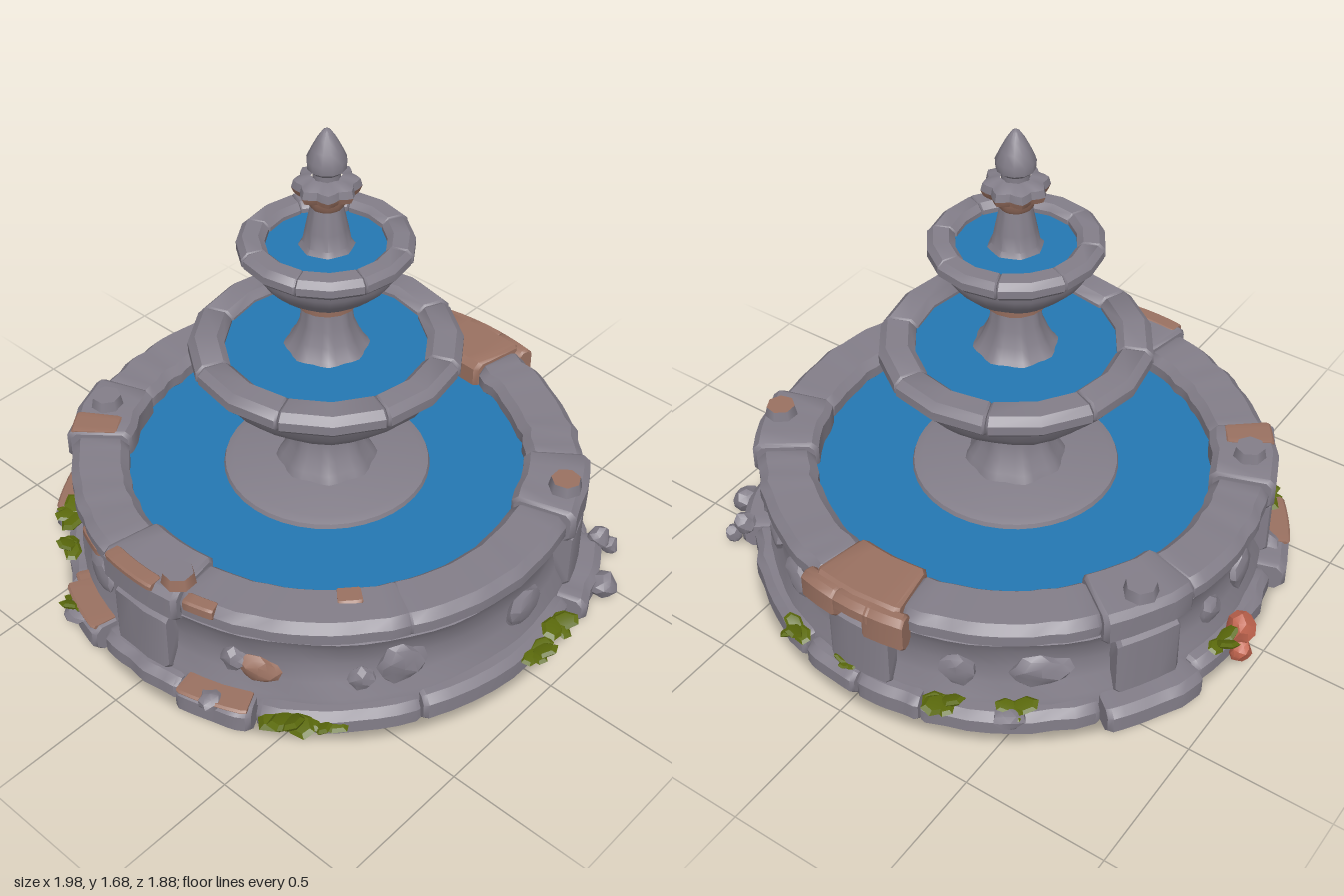
import * as THREE from 'three';
import { toCreasedNormals } from 'three/addons/utils/BufferGeometryUtils.js';

const mat = (name, color) => Object.assign(new THREE.MeshStandardMaterial({ color }), { name });
const RAD = Math.PI / 180;

export function createModel() {
  const stone = mat('stone', 0x837e89), rust = mat('rustyStone', 0x9a7161), clay = mat('redClay', 0xc0644e);
  const water = mat('water', 0x2478b2), leaf = mat('leafGreen', 0x5c6b0c), under = mat('darkUnderside', 0x24241c);
  const fountain = new THREE.Group();
  fountain.name = 'fountain';
  fountain.position.set(-0.01, 0, -0.02);

  let seed = 7;
  const rnd = () => (seed = (seed * 16807) % 2147483647) / 2147483647;

  function add(name, geo, material, x = 0, y = 0, z = 0) {
    const m = new THREE.Mesh(geo, material);
    m.name = name;
    m.position.set(x, y, z);
    fountain.add(m);
    return m;
  }

  // bevelled rectangular cross-section in (radius, height)
  const bevel = (r0, r1, y0, y1, b) => [[r0 + b, y0], [r1 - b, y0], [r1, y0 + b], [r1, y1 - b],
    [r1 - b, y1], [r0 + b, y1], [r0, y1 - b], [r0, y0 + b]];

  // sweeps a cross-section around the axis from a0 to a1 degrees (0 = front), with softened ends
  function arc(section, a0, a1, n, wobble = 0) {
    const k = section.length, pos = [], idx = [];
    const cr = section.reduce((s, p) => s + p[0], 0) / k, cy = section.reduce((s, p) => s + p[1], 0) / k;
    const soft = Math.min(1, (a1 - a0) * 0.06), steps = [a0];
    for (let i = 0; i <= n; i++) steps.push(a0 + soft + (a1 - a0 - 2 * soft) * i / n);
    steps.push(a1);
    const put = (r, y, a) => pos.push(r * Math.sin(a * RAD), y, r * Math.cos(a * RAD));
    steps.forEach((a, i) => {
      const s = i === 0 || i === steps.length - 1 ? 0.88 : 1;
      const w = wobble * Math.sin(a * 0.37 + Math.sin(a * 0.23) * 2);
      for (const [r, y] of section) put(cr + (r - cr) * s + w, Math.max(0, cy + (y - cy) * s + w * 0.5), a);
    });
    const last = steps.length - 1;
    for (let i = 0; i < last; i++) for (let j = 0; j < k; j++) {
      const a = i * k + j, b = i * k + (j + 1) % k;
      idx.push(a, a + k, b + k, a, b + k, b);
    }
    put(cr, cy, a0);
    put(cr, cy, a1);
    const c = (last + 1) * k;
    for (let j = 0; j < k; j++) {
      const j2 = (j + 1) % k;
      idx.push(c, j, j2, c + 1, last * k + j2, last * k + j);
    }
    const g = new THREE.BufferGeometry();
    g.setAttribute('position', new THREE.Float32BufferAttribute(pos, 3));
    g.setIndex(idx);
    return toCreasedNormals(g, 0.7);
  }

  // turned profile whose radius follows a rule (angle, height) => factor
  function turned(profile, sides, rule = () => 1) {
    const g = new THREE.LatheGeometry(profile.map(p => new THREE.Vector2(p[0], p[1])), sides);
    const p = g.attributes.position;
    for (let i = 0; i < p.count; i++) {
      const f = rule(Math.atan2(p.getX(i), p.getZ(i)), p.getY(i));
      p.setXYZ(i, p.getX(i) * f, p.getY(i), p.getZ(i) * f);
    }
    g.deleteAttribute('normal');
    return toCreasedNormals(g, 0.75);
  }

  // irregular stone
  function rock(sx, sy, sz) {
    const g = new THREE.IcosahedronGeometry(1, 1), p = g.attributes.position, s = rnd() * 9;
    for (let i = 0; i < p.count; i++) {
      const x = p.getX(i), y = p.getY(i), z = p.getZ(i);
      const f = 0.88 + 0.17 * Math.sin(x * 3 + s) * Math.cos(y * 4 + z * 3 + s);
      p.setXYZ(i, x * f * sx, y * f * sy, z * f * sz);
    }
    return toCreasedNormals(g, 0.5);
  }

  const flat = (r, y, name, m) => add(name, new THREE.CircleGeometry(r, 64).rotateX(-Math.PI / 2), m, 0, y, 0);

  // ---- lower basin: underside, foot ring, curved wall, water
  add('underside', new THREE.CircleGeometry(0.92, 64).rotateX(Math.PI / 2), under, 0, 0.002, 0);
  const foot = [[-180, -165], [-165, -128], [-128, -106], [-106, -72], [-72, -49], [-49, -27], [-27, -11], [-11, 11],
    [11, 28], [28, 62], [62, 106], [106, 128], [128, 165], [165, 180]];
  foot.forEach(([a, b], i) => {
    const big = [2, 4].includes(i) || i === 11 ? 0.965 : [6, 8].includes(i) ? 0.945 : 0.915;
    add('footStone', arc(bevel(0.78, big, 0, i % 2 ? 0.1 : 0.11, 0.025), a + 0.3, b - 0.3, 8, 0.006), stone);
  });
  add('basinWall', turned([[0.87, 0.07], [0.86, 0.12], [0.835, 0.17], [0.825, 0.24], [0.835, 0.31], [0.86, 0.36], [0.8, 0.38]], 72,
    (a, y) => 1 + 0.005 * Math.sin(a * 11 + y * 20) * Math.cos(a * 5)), stone);
  add('innerWall', turned([[0.72, 0.4], [0.7, 0.3], [0, 0.3]], 48), stone);
  flat(0.72, 0.375, 'basinWater', water);

  // ---- basin rim: long curved stones between wider capping blocks on pilasters
  const posts = [-117, -60, 0, 117, 180];
  const rim = [[-169, -128], [-106, -71], [-49, -11], [11, 60], [60, 106], [128, 169]];
  rim.forEach(([a, b]) => add('rimStone', arc(bevel(0.68, 0.875, 0.355, 0.45, 0.028), a - 0.6, b + 0.6, 12, 0.005), stone));
  for (const a of posts) {
    const back = a === 180;
    add('capBlock', arc(bevel(0.67, 0.895, 0.34, 0.465, 0.022), a - 10.6, a + 10.6, 4, 0.004), back ? rust : stone);
    add('pilaster', arc(bevel(0.78, 0.89, 0.09, 0.35, 0.025), a - 7.5, a + 7.5, 3, 0.003), stone);
  }
  // broken rust-coloured end hanging over the back rim
  [[172, 0.1], [181, 0.06], [188, 0.12]].forEach(([a, h]) =>
    add('rustyDrip', arc(bevel(0.86, 0.925, 0.44 - h, 0.455, 0.02), a - 4.5, a + 4.5, 2), rust));

  // knobs on the capping blocks
  [[-0.73, -0.38, stone], [0.75, -0.35, rust], [-0.7, 0.38, stone], [0.12, 0.81, stone]].forEach(([x, z, top], i) => {
    const side = i === 3 ? rust : stone;
    add('knob', new THREE.CylinderGeometry(0.05, 0.058, 0.04, 7), [side, top, side], x, 0.483, z).rotation.y = i * 0.7;
  });

  // ---- worn rust patches: [from, to, inner radius, outer radius, bottom, top]
  [[-29, -24, 0.8, 0.905, 0.09, 0.112], [-26, -12, 0.85, 0.948, 0.1, 0.116], [12, 27, 0.85, 0.948, 0.1, 0.116],
    [-57, -50, 0.72, 0.885, 0.446, 0.468], [45, 51, 0.7, 0.77, 0.44, 0.456], [-9, 5, 0.84, 0.9, 0.44, 0.469],
    [-23, -15, 0.84, 0.882, 0.36, 0.4], [-64, -50, 0.85, 0.968, 0.1, 0.113], [12, 19, 0.83, 0.88, 0.41, 0.453]
  ].forEach(([a, b, r0, r1, y0, y1]) => add('rustPatch', arc(bevel(r0, r1, y0, y1, 0.007), a, b, 4), rust));

  // ---- rough carved lumps on the wall panels: [angle, height, half width, half height, colour]
  [[28, 0.2, 0.08, 0.06, rust], [22, 0.22, 0.05, 0.05, stone], [59, 0.22, 0.09, 0.09, stone], [50, 0.18, 0.05, 0.05, stone],
    [93, 0.2, 0.11, 0.075, stone], [138, 0.21, 0.07, 0.07, stone], [155, 0.22, 0.09, 0.07, stone], [-21, 0.2, 0.1, 0.07, stone],
    [-42, 0.22, 0.07, 0.07, stone], [-82, 0.22, 0.08, 0.09, stone], [-96, 0.2, 0.06, 0.06, stone],
    [-140, 0.22, 0.11, 0.07, stone], [-158, 0.21, 0.07, 0.07, stone]
  ].forEach(([a, y, w, h, m]) => {
    const t = a * RAD;
    add('wallRelief', rock(w, h, 0.035), m, 0.83 * Math.sin(t), y, 0.83 * Math.cos(t)).rotation.y = t;
  });

  // ---- loose rubble around the foot
  [[-0.93, 0.13, -0.05, 0.06, 0.07, clay], [-0.95, 0.07, -0.08, 0.045, 0.05, clay], [-0.31, 0.08, 0.87, 0.08, 0.04, stone],
    [0.77, 0.1, -0.57, 0.045, 0.05, stone], [0.8, 0.06, -0.6, 0.035, 0.04, stone], [0.89, 0.05, -0.43, 0.06, 0.05, stone],
    [-0.5, 0.1, -0.76, 0.06, 0.035, stone], [-0.8, 0.09, 0.4, 0.06, 0.04, stone], [0.3, 0.1, 0.87, 0.05, 0.03, stone]
  ].forEach(([x, y, z, w, h, m]) => add('rubble', rock(w, h, w * 0.9), m, x, y, z).rotation.y = x * 5);

  // ---- leafy weeds: [x, y, z, leaf count, leaf length]
  const leafShape = new THREE.SphereGeometry(1, 6, 4).scale(0.42, 0.16, 0.6).translate(0, 0, 0.4);
  const leafGeo = toCreasedNormals(leafShape, 0.4);
  [[0.53, 0.08, 0.73, 5, 0.11], [0.6, 0.06, 0.67, 3, 0.09], [0.9, 0.1, -0.14, 4, 0.085], [0.92, 0.08, 0, 4, 0.08],
    [-0.67, 0.1, 0.59, 4, 0.09], [-0.54, 0.12, 0.71, 4, 0.075], [-0.33, 0.09, 0.87, 3, 0.07], [-0.31, 0.14, -0.85, 4, 0.09],
    [0.27, 0.12, -0.86, 4, 0.07], [-0.5, 0.12, -0.73, 3, 0.08], [-0.9, 0.13, -0.14, 3, 0.08], [0.05, 0.11, -0.88, 3, 0.05]
  ].forEach(([x, y, z, n, s]) => {
    const out = Math.atan2(x, z);
    for (let i = 0; i < n; i++) {
      const m = add('weedLeaf', leafGeo, leaf, x, y, z);
      m.rotation.set(0.25 - rnd() * 0.75, out + (i / (n - 1) - 0.5) * 2.7, (rnd() - 0.5) * 0.8, 'YXZ');
      m.scale.setScalar(s * (0.8 + rnd() * 0.35));
    }
  });

  // ---- central pedestals
  const flute = (a, y) => 1 + 0.04 * Math.cos(a * 8);
  add('plinth', turned([[0.36, 0.36], [0.35, 0.39], [0.32, 0.4], [0, 0.41]], 40), stone);
  add('lowerPedestal', turned([[0.17, 0.4], [0.155, 0.43], [0.13, 0.47], [0.115, 0.53], [0.112, 0.61], [0.138, 0.615], [0.14, 0.64], [0.12, 0.66]], 32, flute), stone);
  add('middlePedestal', turned([[0.16, 0.86], [0.125, 0.89], [0.105, 0.93], [0.085, 0.98], [0.075, 1.06]], 32, flute), stone);
  add('middleCollar', turned([[0.07, 1.05], [0.103, 1.052], [0.106, 1.09], [0.08, 1.1]], 16), rust);
  add('upperPedestal', turned([[0.1, 1.25], [0.075, 1.28], [0.066, 1.33], [0.05, 1.41]], 24, flute), stone);

  // ---- tiered bowls with rims made of eight chunky blocks
  function bowl(name, profile, r0, r1, y0, y1, waterY) {
    add(name + 'Bowl', turned(profile, 32, (a, y) => 1 + 0.012 * Math.cos(a * 8)), stone);
    for (let i = 0; i < 8; i++)
      add(name + 'RimBlock', arc(bevel(r0, r1, y0, y1, (y1 - y0) * 0.3), i * 45 - 22.3, i * 45 + 22.3, 2, 0.005), stone);
    flat(r0 + 0.03, waterY, name + 'Water', water);
  }
  bowl('middle', [[0.1, 0.625], [0.15, 0.64], [0.24, 0.66], [0.32, 0.71], [0.375, 0.77], [0.405, 0.84], [0.39, 0.87]], 0.335, 0.455, 0.835, 0.915, 0.88);
  bowl('upper', [[0.08, 1.09], [0.115, 1.1], [0.17, 1.12], [0.215, 1.165], [0.245, 1.21], [0.25, 1.25]], 0.195, 0.285, 1.235, 1.3, 1.265);

  // ---- finial: flared petal cup and pointed bud
  const petals = (a, y) => 1 + 0.1 * Math.cos(a * 8) * (y > 1.45 ? 1 : 0.2);
  add('petalCup', turned([[0.045, 1.4], [0.06, 1.42], [0.066, 1.445], [0.092, 1.455], [0.1, 1.475]], 32, petals), rust);
  add('petalTop', turned([[0.1, 1.475], [0.094, 1.5], [0.07, 1.51], [0.045, 1.515]], 32, petals), stone);
  add('bud', turned([[0.045, 1.5], [0.045, 1.53], [0.062, 1.545], [0.064, 1.575], [0.048, 1.61], [0.03, 1.645], [0.012, 1.672], [0, 1.678]], 12), stone);
  return fountain;
}
